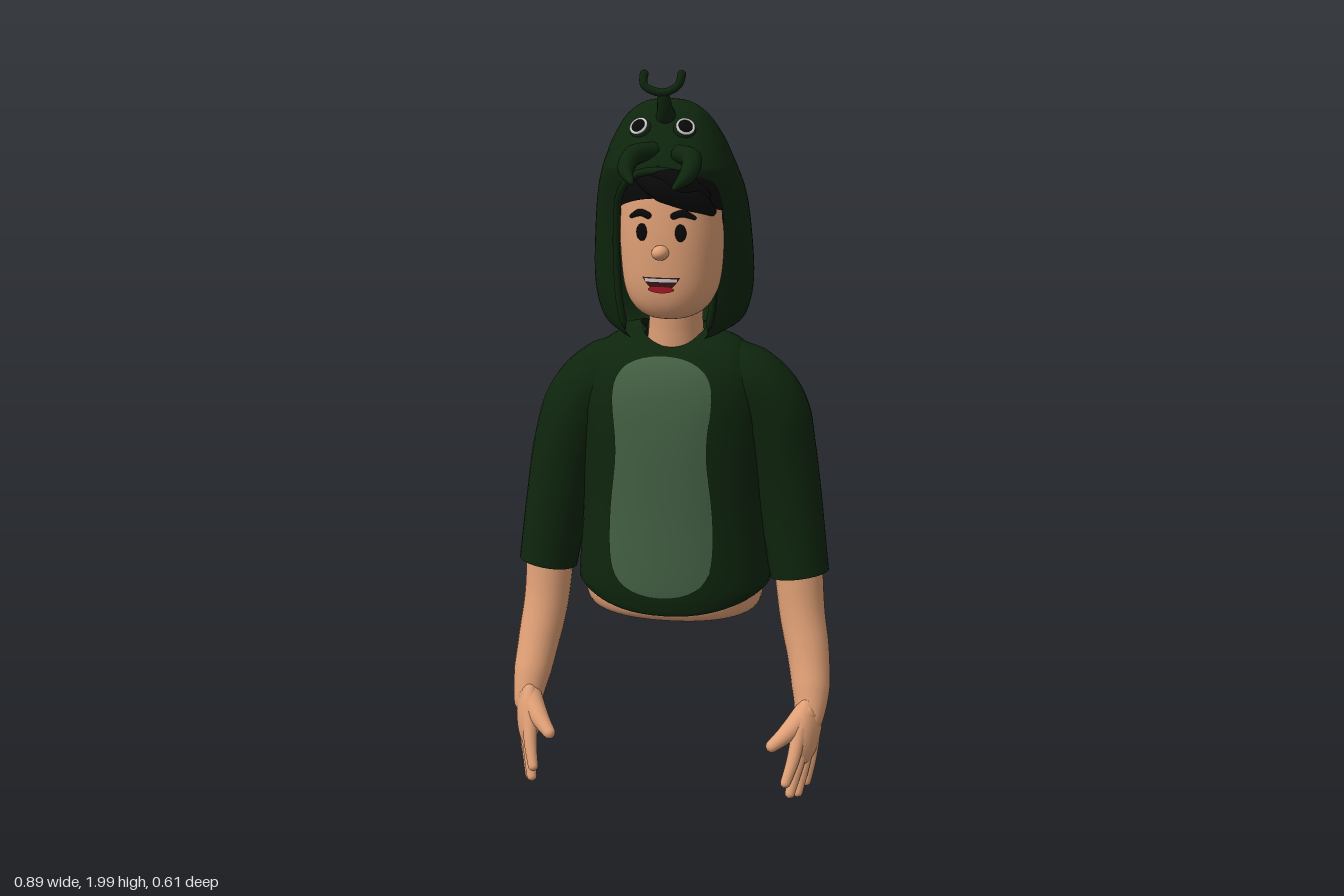
import * as THREE from 'three';
import { mergeVertices } from 'three/addons/utils/BufferGeometryUtils.js';

const mat = (color) => new THREE.MeshStandardMaterial({ color, side: THREE.DoubleSide });
const GREEN = mat(0x0e250d), SKIN = mat(0xe0a076), BELLY = mat(0x435f43), BLACK = mat(0x080808),
  WHITE = mat(0xd8d8d8), RED = mat(0xb01828), DARK = mat(0x401414);
const V = (a) => new THREE.Vector3(...a);
const SQUARE = 0.9; // below 1, rings are a little squarer than ellipses

function add(parent, name, geometry, material) {
  const m = new THREE.Mesh(geometry, material);
  m.name = name;
  parent.add(m);
  return m;
}

// Smooth surface from a grid of points; u runs to +x, v runs up
function sheet(nu, nv, fn) {
  const pos = [], idx = [];
  for (let j = 0; j <= nv; j++) for (let i = 0; i <= nu; i++) pos.push(...fn(i / nu, j / nv, j));
  for (let j = 0; j < nv; j++) for (let i = 0; i < nu; i++) {
    const a = j * (nu + 1) + i, c = a + nu + 1;
    idx.push(a, a + 1, c, a + 1, c + 1, c);
  }
  let g = new THREE.BufferGeometry();
  g.setAttribute('position', new THREE.Float32BufferAttribute(pos, 3));
  g.setIndex(idx);
  g = mergeVertices(g, 1e-5);
  g.computeVertexNormals();
  return g;
}

// Cross-section rows: [y, half width, back z, front z, half opening angle, side lift]
function smoothRows(rows, k = 5) {
  const out = [], at = (i, c) => rows[Math.min(Math.max(i, 0), rows.length - 1)][c] || 0;
  for (let i = 0; i < rows.length - 1; i++) for (let s = 0; s < k + (i === rows.length - 2 ? 1 : 0); s++) {
    const t = s / k;
    out.push([0, 1, 2, 3, 4, 5].map((c) => {
      const [p, q, r, w] = [at(i - 1, c), at(i, c), at(i + 1, c), at(i + 2, c)];
      const v = q + 0.5 * t * (r - p + t * (2 * p - 5 * q + 4 * r - w + t * (3 * (q - r) + w - p)));
      return c === 1 || c === 4 ? Math.max(0, v) : v;
    }));
  }
  return out;
}
function ringPoint([y, w, zb, zf, , lift], phi) {
  const bend = (v) => Math.sign(v) * Math.abs(v) ** SQUARE, s = Math.sin(phi);
  return [w * bend(s), y + lift * s * s, (zb + zf) / 2 + ((zf - zb) / 2) * bend(Math.cos(phi))];
}
const loft = (rows, seg = 56) => sheet(seg, rows.length - 1, (u, v, j) => {
  const open = rows[j][4];
  return ringPoint(rows[j], open + u * 2 * (Math.PI - open));
});

// Depth of the front of a lofted shape at x, y
function frontZ(rows, x, y) {
  let i = rows.length - 2;
  while (i > 0 && rows[i][0] > y) i--;
  const a = rows[i], b = rows[i + 1], t = THREE.MathUtils.clamp((y - a[0]) / (b[0] - a[0]), 0, 1);
  const [, w, zb, zf] = a.map((v, c) => v + (b[c] - v) * t);
  return (zb + zf) / 2 + ((zf - zb) / 2) * Math.max(0, 1 - Math.abs(x / w) ** (2 / SQUARE)) ** (SQUARE / 2);
}
// Thin shape lying on the front of a lofted shape
const decal = (rows, cx, y0, y1, halfWidth, lift) => sheet(16, 32, (u, t) => {
  const v = (1 - Math.cos(Math.PI * t)) / 2, y = y0 + (y1 - y0) * v;
  const x = cx + (2 * u - 1) * halfWidth(v);
  return [x, y, frontZ(rows, x, y) + lift];
});

// Tube of varying radius with optional rounded ends
function tube(points, radii, roundStart = false, roundEnd = true, sides = 16) {
  const curve = new THREE.CatmullRomCurve3(points.map(V)), n = 40, L = curve.getLength();
  let g = new THREE.TubeGeometry(curve, n, 1, sides);
  const pos = g.attributes.position, p = new THREE.Vector3();
  for (let i = 0; i <= n; i++) {
    const u = i / n, f = u * (radii.length - 1), k = Math.min(Math.floor(f), radii.length - 2);
    let r = radii[k] + (radii[k + 1] - radii[k]) * (f - k);
    const dome = (d) => Math.sqrt(Math.max(0, 1 - Math.max(0, 1 - (d * L) / r) ** 2));
    r *= (roundStart ? dome(u) : 1) * (roundEnd ? dome(1 - u) : 1);
    const c = curve.getPointAt(u);
    for (let j = 0; j <= sides; j++) {
      const q = i * (sides + 1) + j;
      p.fromBufferAttribute(pos, q).sub(c).multiplyScalar(r).add(c);
      pos.setXYZ(q, p.x, p.y, p.z);
    }
  }
  g.deleteAttribute('uv');
  g.deleteAttribute('normal');
  g = mergeVertices(g, 1e-5);
  g.computeVertexNormals();
  return g;
}
function ball(parent, name, at, size, material) {
  const m = add(parent, name, new THREE.SphereGeometry(1, 24, 16), material);
  m.position.set(...at);
  m.scale.set(...size);
  return m;
}
function turned(parent, name, x, z, yaw) {
  const g = new THREE.Group();
  g.name = name;
  g.position.set(x, 0, z);
  g.rotation.y = yaw;
  parent.add(g);
  return g;
}

// Hand hanging from the wrist, thumb towards the fan direction
function hand(parent, name, wrist, along, fan, palmSide) {
  const g = new THREE.Group();
  g.name = name;
  const Y = V(along).normalize().negate(), X = new THREE.Vector3().crossVectors(Y, V(fan)).normalize();
  const Z = new THREE.Vector3().crossVectors(X, Y);
  g.applyMatrix4(new THREE.Matrix4().makeBasis(X, Y, Z).setPosition(...wrist));
  ball(g, 'palm', [0, -0.08, 0], [0.034, 0.105, 0.056], SKIN);
  const tips = [[0.056, -0.25], [0.022, -0.279], [-0.018, -0.275], [-0.053, -0.242]];
  tips.forEach(([z, y], i) => {
    const base = 0.036 - i * 0.024;
    add(g, 'finger', tube([[0, -0.08, base], [0, -0.17, base + (z - base) * 0.4],
      [palmSide * 0.008, y, z]], [0.022, 0.0185, 0.0135]), SKIN);
  });
  add(g, 'thumb', tube([[0, -0.03, 0.01], [palmSide * 0.025, -0.1, 0.055],
    [palmSide * 0.055, -0.155, 0.098]], [0.034, 0.027, 0.015]), SKIN);
  parent.add(g);
}

export function createModel() {
  const model = new THREE.Group();
  model.name = 'hoodedFigure';

  // Torso, bare underside and belly panel
  const body = turned(model, 'torso', -0.02, -0.075, 0.33);
  const torsoRows = smoothRows([[0.51, 0.255, -0.175, 0.175, 0, 0.05], [0.53, 0.266, -0.182, 0.182, 0, 0.04],
    [0.6, 0.272, -0.188, 0.188], [0.8, 0.258, -0.184, 0.184], [1.0, 0.26, -0.183, 0.183], [1.12, 0.262, -0.177, 0.174],
    [1.2, 0.24, -0.158, 0.15], [1.245, 0.175, -0.125, 0.115, 0, 0.025], [1.255, 0.088, -0.085, 0.085, 0, 0.04]]);
  add(body, 'shirt', loft(torsoRows), GREEN);
  add(body, 'waist', loft(smoothRows([[0.468, 0, 0, 0], [0.474, 0.14, -0.095, 0.095], [0.49, 0.215, -0.148, 0.148],
    [0.52, 0.247, -0.167, 0.167], [0.58, 0.257, -0.174, 0.174]])), SKIN);
  add(body, 'bellyPanel', decal(torsoRows, -0.01, 0.565, 1.235, (v) =>
    (0.147 - 0.02 * Math.exp(-(((v - 0.62) / 0.2) ** 2))) * Math.max(0, 1 - Math.abs(2 * v - 1) ** 8) ** 0.5, 0.004), BELLY);
  add(model, 'neck', tube([[-0.018, 1.18, -0.075], [-0.008, 1.3, -0.06], [0.003, 1.44, -0.04]],
    [0.085, 0.075, 0.07], false, false, 28), SKIN);

  // Arms
  const arm = (side, sleeve, forearm) => {
    add(model, side + 'Sleeve', tube(sleeve, [0.08, 0.108, 0.106, 0.095, 0.088, 0.083], true, false, 28), GREEN);
    add(model, side + 'Forearm', tube(forearm, [0.07, 0.066, 0.062, 0.054, 0.034], false, true, 24), SKIN);
  };
  arm('right', [[-0.05, 1.185, -0.055], [-0.17, 1.16, -0.02], [-0.255, 1.09, 0.005], [-0.305, 0.95, 0.03], [-0.332, 0.8, 0.045], [-0.36, 0.605, 0.06]],
    [[-0.355, 0.68, 0.05], [-0.358, 0.5, 0.075], [-0.362, 0.38, 0.115], [-0.36, 0.27, 0.165], [-0.355, 0.18, 0.2]]);
  arm('left', [[0.03, 1.185, -0.1], [0.14, 1.16, -0.13], [0.222, 1.09, -0.16], [0.262, 0.95, -0.175], [0.29, 0.8, -0.182], [0.322, 0.605, -0.182]],
    [[0.317, 0.68, -0.175], [0.34, 0.5, -0.165], [0.372, 0.38, -0.144], [0.398, 0.27, -0.108], [0.406, 0.18, -0.066]]);
  hand(model, 'rightHand', [-0.36, 0.27, 0.175], [0.05, -0.25, 0.085], [0.64, 0, 0.77], 1);
  hand(model, 'leftHand', [0.405, 0.27, -0.096], [0, -0.26, 0.095], [-0.15, 0, 0.99], -1);

  // Head and face
  const head = turned(model, 'head', -0.013, -0.1, 0.26);
  const headRows = smoothRows([[1.338, 0, 0.12, 0.12], [1.344, 0.055, 0.06, 0.18], [1.37, 0.098, 0.02, 0.208],
    [1.42, 0.126, -0.015, 0.224], [1.5, 0.139, -0.04, 0.23], [1.6, 0.142, -0.048, 0.23],
    [1.7, 0.133, -0.045, 0.22], [1.78, 0.093, -0.01, 0.178], [1.83, 0, 0.09, 0.09]]);
  add(head, 'face', loft(headRows), SKIN);
  ball(head, 'nose', [0, 1.528, 0.235], [0.023, 0.02, 0.029], SKIN);
  add(head, 'mouth', decal(headRows, 0, 1.42, 1.462, (v) => 0.052 * Math.sqrt(v), 0.003), DARK);
  add(head, 'teeth', decal(headRows, 0, 1.45, 1.459, () => 0.044, 0.005), WHITE);
  add(head, 'lip', decal(headRows, 0, 1.42, 1.437, (v) => 0.036 * Math.sqrt(Math.sin(Math.PI * v * 0.9)), 0.005), RED);
  for (const s of [-1, 1]) {
    ball(head, 'eye', [s * 0.052, 1.58, frontZ(headRows, 0.052, 1.58)], [0.016, 0.023, 0.007], BLACK);
    const brow = [[0.026, 1.621], [0.055, 1.631], [0.09, 1.617]];
    add(head, 'eyebrow', tube(brow.map(([x, y]) => [s * x, y, frontZ(headRows, x, y)]),
      [0.009, 0.01, 0.005], true, true, 10), BLACK);
    ball(head, 'ear', [s * 0.143, 1.55, 0.05], [0.016, 0.042, 0.026], SKIN);
    ball(head, 'sideburn', [s * 0.133, 1.62, 0.095], [0.013, 0.06, 0.028], BLACK);
  }
  add(head, 'hair', loft(smoothRows([[1.67, 0.145, -0.055, 0.234, 0, -0.04], [1.72, 0.137, -0.05, 0.228],
    [1.79, 0.096, -0.01, 0.185], [1.84, 0, 0.09, 0.09]])), BLACK);
  add(head, 'fringe', tube([[-0.07, 1.72, 0.205], [0.01, 1.695, 0.232], [0.08, 1.67, 0.21], [0.132, 1.625, 0.16]],
    [0.015, 0.036, 0.036, 0.008], true), BLACK);
  add(head, 'fringe', tube([[-0.03, 1.735, 0.215], [0.05, 1.71, 0.23], [0.12, 1.67, 0.175]], [0.02, 0.035, 0.012], true), BLACK);

  // Hood, open at the face
  const hood = turned(model, 'hood', -0.036, -0.088, 0.34);
  const hoodRows = smoothRows([[1.275, 0.09, -0.11, 0.06, 0.75, 0.03], [1.245, 0.14, -0.165, 0.09, 0.66, 0.05],
    [1.287, 0.185, -0.2, 0.12, 0.62, 0.02], [1.36, 0.211, -0.215, 0.13, 0.6], [1.45, 0.221, -0.215, 0.14, 0.6],
    [1.6, 0.211, -0.207, 0.172, 0.6], [1.68, 0.198, -0.193, 0.205, 0.54], [1.73, 0.183, -0.165, 0.227, 0.3],
    [1.755, 0.174, -0.145, 0.225], [1.82, 0.147, -0.078, 0.182], [1.88, 0.107, -0.01, 0.14],
    [1.912, 0.058, 0.03, 0.105], [1.92, 0, 0.07, 0.07]]);
  add(hood, 'hoodShell', loft(hoodRows), GREEN);
  const rim = hoodRows.slice(10, 40).filter((r, i) => i % 5 === 0).map((r) => ringPoint(r, r[4]));
  add(hood, 'hoodRim', tube([...rim, [0, 1.742, 0.228], ...rim.map(([x, y, z]) => [-x, y, z]).reverse()], [0.01, 0.01], true), GREEN);

  // Hood eyes
  for (const s of [-1, 1]) {
    const eye = new THREE.Group();
    eye.name = 'hoodEye';
    eye.position.set(s * 0.06, 1.847, frontZ(hoodRows, 0.06, 1.847));
    eye.rotation.set(-0.65, s * 0.4, 0, 'YXZ');
    hood.add(eye);
    ball(eye, 'socket', [0, 0, -0.006], [0.031, 0.029, 0.016], GREEN);
    add(eye, 'eyeRing', new THREE.TorusGeometry(0.022, 0.004, 10, 32), WHITE).position.z = 0.008;
    ball(eye, 'pupil', [0, 0, 0.006], [0.021, 0.021, 0.01], BLACK);
  }

  // Pincers and forked horn on the hood
  const claw = [0.024, 0.027, 0.022, 0.005];
  add(model, 'rightPincer', tube([[0.01, 1.79, 0.09], [-0.018, 1.782, 0.15], [-0.01, 1.75, 0.205], [0.032, 1.718, 0.245]], claw), GREEN);
  add(model, 'leftPincer', tube([[0.075, 1.785, 0.08], [0.125, 1.775, 0.1], [0.14, 1.74, 0.145], [0.13, 1.705, 0.21]], claw), GREEN);
  add(model, 'hornStem', tube([[0.008, 1.86, 0.02], [0.022, 1.895, 0.055], [0.028, 1.945, 0.077]], [0.033, 0.021, 0.014]), GREEN);
  add(model, 'hornFork', tube([[-0.022, 1.998, 0.085], [-0.016, 1.958, 0.097], [0.028, 1.94, 0.08], [0.066, 1.958, 0.066],
    [0.074, 1.998, 0.053]], [0.012, 0.01, 0.011, 0.01, 0.012], true), GREEN);
  return model;
}
